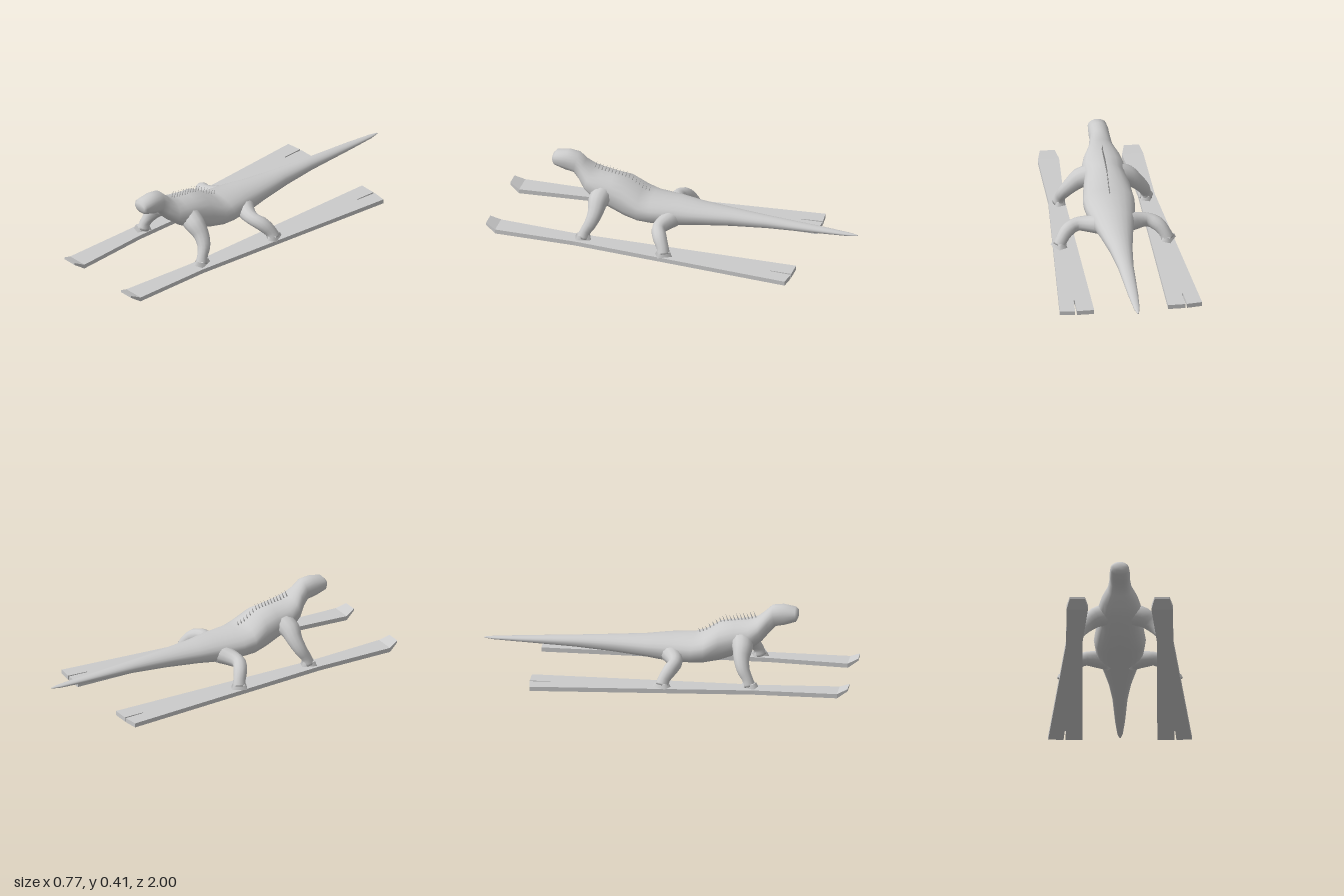
import * as THREE from 'three';

const material = new THREE.MeshStandardMaterial({ color: 0xcccccc, side: THREE.DoubleSide });

function addMesh(parent, name, geometry) {
  const mesh = new THREE.Mesh(geometry, material);
  mesh.name = name;
  parent.add(mesh);
  return mesh;
}

// Skin over a row of rings, each an array of Vector3, with closed ends
function loft(rings) {
  const n = rings[0].length, positions = [], index = [];
  rings.forEach(ring => ring.forEach(p => positions.push(p.x, p.y, p.z)));
  for (let i = 0; i < rings.length - 1; i++) {
    for (let j = 0; j < n; j++) {
      const a = i * n + j, b = i * n + (j + 1) % n;
      index.push(a, a + n, b, b, a + n, b + n);
    }
  }
  [0, rings.length - 1].forEach(r => {
    const mid = new THREE.Vector3();
    rings[r].forEach(p => mid.addScaledVector(p, 1 / n));
    const c = positions.length / 3;
    positions.push(mid.x, mid.y, mid.z);
    for (let j = 0; j < n; j++) {
      const a = r * n + j, b = r * n + (j + 1) % n;
      index.push(...(r === 0 ? [c, a, b] : [c, b, a]));
    }
  });
  const g = new THREE.BufferGeometry();
  g.setAttribute('position', new THREE.Float32BufferAttribute(positions, 3));
  g.setIndex(index);
  g.computeVertexNormals();
  return g;
}

// Body sections: top z, top y, bottom z, bottom y, half width
const BODY = [
  [0.70, 0.385, 0.70, 0.345, 0.038],
  [0.685, 0.402, 0.69, 0.325, 0.050],
  [0.62, 0.415, 0.63, 0.305, 0.055],
  [0.56, 0.408, 0.58, 0.295, 0.055],
  [0.52, 0.37, 0.55, 0.262, 0.065],
  [0.48, 0.335, 0.51, 0.215, 0.098],
  [0.43, 0.32, 0.46, 0.175, 0.115],
  [0.36, 0.312, 0.36, 0.125, 0.112],
  [0.28, 0.298, 0.28, 0.097, 0.128],
  [0.20, 0.245, 0.20, 0.085, 0.14],
  [0.14, 0.225, 0.12, 0.08, 0.132],
  [0.00, 0.22, 0.00, 0.08, 0.112],
  [-0.12, 0.205, -0.12, 0.095, 0.09],
  [-0.30, 0.195, -0.30, 0.11, 0.062],
  [-0.50, 0.183, -0.50, 0.123, 0.042],
  [-0.80, 0.165, -0.80, 0.135, 0.027],
  [-0.95, 0.155, -0.95, 0.14, 0.015],
  [-1.00, 0.15, -1.00, 0.145, 0.004],
];

function bodyGeometry() {
  const n = 20;
  return loft(BODY.map(([zt, yt, zb, yb, w]) => Array.from({ length: n }, (_, j) => {
    const a = -j / n * Math.PI * 2;
    const s = Math.sin(a), c = Math.cos(a);
    const e = s > 0 ? 1 : 0.75; // fuller belly, rounder back
    const x = w * Math.sign(c) * Math.abs(c) ** e;
    const t = 0.5 + 0.5 * Math.sign(s) * Math.abs(s) ** e;
    return new THREE.Vector3(x, yb + (yt - yb) * t, zb + (zt - zb) * t);
  })));
}

// Limb along a smooth path; each point is x, y, z, radius
function limbGeometry(points) {
  const steps = 14, n = 12;
  const curve = new THREE.CatmullRomCurve3(points.map(p => new THREE.Vector3(p[0], p[1], p[2])));
  const radii = new THREE.SplineCurve(points.map((p, i) => new THREE.Vector2(i, p[3])));
  const rings = [];
  for (let i = 0; i <= steps; i++) {
    const t = i / steps, p = curve.getPoint(t), d = curve.getTangent(t);
    const r = radii.getPoint(t).y;
    const side = new THREE.Vector3(0, 0, 1).cross(d).normalize();
    const up = d.clone().cross(side);
    rings.push(Array.from({ length: n }, (_, j) => {
      const a = j / n * Math.PI * 2;
      return p.clone().addScaledVector(side, r * Math.cos(a)).addScaledVector(up, r * Math.sin(a));
    }));
  }
  return loft(rings);
}

const FRONT_LEG = [[0.05, 0.225, 0.40, 0.06], [0.125, 0.20, 0.415, 0.055], [0.175, 0.16, 0.415, 0.043],
  [0.215, 0.11, 0.43, 0.035], [0.232, 0.065, 0.455, 0.029], [0.236, 0.03, 0.465, 0.034]];
const HIND_LEG = [[0.06, 0.135, 0.01, 0.055], [0.13, 0.125, 0.045, 0.045], [0.19, 0.12, 0.058, 0.037],
  [0.245, 0.10, 0.035, 0.038], [0.28, 0.06, 0.008, 0.033], [0.293, 0.03, 0.0, 0.036]];

// Low wedge-shaped foot
function footGeometry(x, z, turn) {
  const g = new THREE.CylinderGeometry(0.55, 0.72, 1, 4, 1);
  g.rotateY(Math.PI / 4);
  g.scale(0.052, 0.024, 0.08);
  g.rotateY(turn);
  g.translate(x, 0.037, z);
  return g.toNonIndexed();
}

function plank(outline) {
  const shape = new THREE.Shape(outline.map(([x, z]) => new THREE.Vector2(x, z)));
  const g = new THREE.ExtrudeGeometry(shape, { depth: 0.024, bevelEnabled: false });
  g.rotateX(Math.PI / 2);
  g.translate(0, 0.024, 0);
  return g;
}

// Flared ski with a slot in the tail, and an upturned tip
function makeSki() {
  const ski = new THREE.Group();
  addMesh(ski, 'skiBoard', plank([[0.17, 0.945], [0.285, 0.945], [0.288, 0.5], [0.385, -0.705],
    [0.303, -0.715], [0.296, -0.6], [0.29, -0.6], [0.293, -0.715], [0.2, -0.715], [0.2, 0.52]]));
  const tip = plank([[0.17, 0.945], [0.285, 0.945], [0.268, 1.0], [0.187, 1.0]]);
  const p = tip.attributes.position;
  for (let i = 0; i < p.count; i++) if (p.getZ(i) > 0.97) p.setY(i, p.getY(i) * 0.5 + 0.036);
  tip.computeVertexNormals();
  addMesh(ski, 'skiTip', tip);
  return ski;
}

// Height of the back at a given z
function backHeight(z) {
  const i = BODY.findIndex(s => s[0] <= z), a = BODY[i - 1], b = BODY[i];
  return THREE.MathUtils.mapLinear(z, a[0], b[0], a[1], b[1]);
}

export function createModel() {
  const model = new THREE.Group();
  model.name = 'lizardOnSkis';
  addMesh(model, 'body', bodyGeometry());

  // Legs, feet and skis, mirrored left to right
  [['left', 1], ['right', -1]].forEach(([side, sign]) => {
    const half = new THREE.Group();
    half.name = side + 'Side';
    addMesh(half, side + 'FrontLeg', limbGeometry(FRONT_LEG));
    addMesh(half, side + 'HindLeg', limbGeometry(HIND_LEG));
    addMesh(half, side + 'FrontFoot', footGeometry(0.24, 0.465, 0.35));
    addMesh(half, side + 'HindFoot', footGeometry(0.296, -0.002, 0.5));
    const ski = makeSki();
    ski.name = side + 'Ski';
    half.add(ski);
    half.scale.x = sign;
    model.add(half);
  });

  // Row of thin spines along the back
  const crest = new THREE.Group();
  crest.name = 'backSpines';
  const count = 17;
  for (let i = 0; i < count; i++) {
    const z = 0.465 - i * 0.3 / (count - 1);
    const height = 0.055 - 0.02 * i / count;
    const spine = addMesh(crest, 'spine', new THREE.ConeGeometry(0.005, height, 4));
    spine.position.set(0, backHeight(z) + height * 0.32, z);
    spine.rotation.x = -0.35;
  }
  model.add(crest);
  return model;
}
